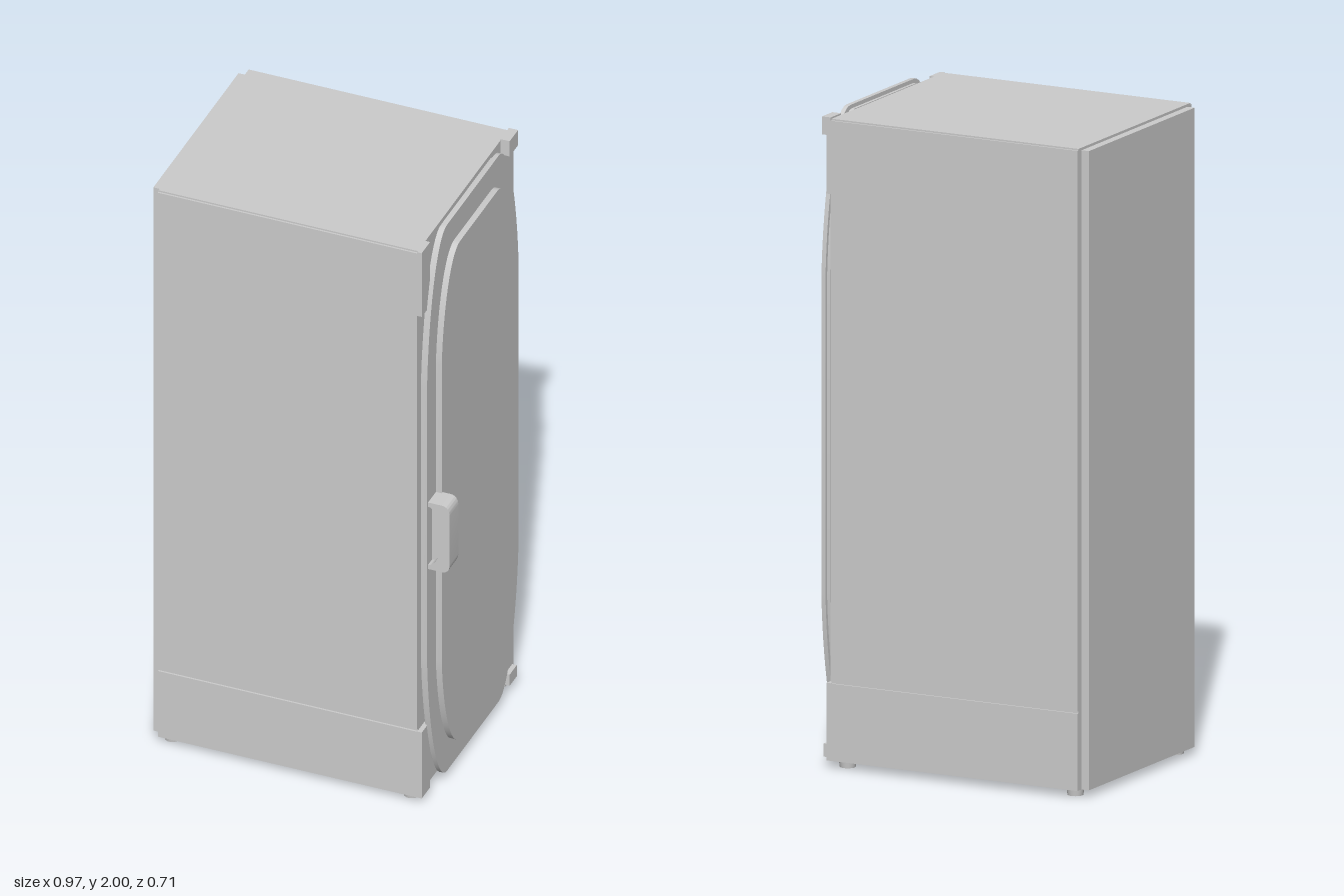
import * as THREE from 'three';
import { toCreasedNormals } from 'three/addons/utils/BufferGeometryUtils.js';

const material = new THREE.MeshStandardMaterial({ color: 0xcccccc });

function add(group, name, geometry) {
  const mesh = new THREE.Mesh(geometry, material);
  mesh.name = name;
  group.add(mesh);
  return mesh;
}

// Box given by its lower and upper bounds on each axis
function block(group, name, [x0, x1], [y0, y1], [z0, z1]) {
  const mesh = add(group, name, new THREE.BoxGeometry(x1 - x0, y1 - y0, z1 - z0));
  mesh.position.set((x0 + x1) / 2, (y0 + y1) / 2, (z0 + z1) / 2);
  return mesh;
}

// Soft-cornered door outline: w half width, f half of the flat end, r corner height
function doorOutline(w, f, y0, y1, r) {
  const s = new THREE.Shape();
  const cf = f + (w - f) * 0.52, cw = w - (w - f) * 0.07;
  s.moveTo(f, y0);
  s.bezierCurveTo(cf, y0, cw, y0 + r / 2, w, y0 + r);
  s.lineTo(w, y1 - r);
  s.bezierCurveTo(cw, y1 - r / 2, cf, y1, f, y1);
  s.lineTo(-f, y1);
  s.bezierCurveTo(-cf, y1, -cw, y1 - r / 2, -w, y1 - r);
  s.lineTo(-w, y0 + r);
  s.bezierCurveTo(-cw, y0 + r / 2, -cf, y0, -f, y0);
  s.closePath();
  return s;
}

// Slab of the outline standing across the x axis
function doorSlab(group, name, outline, x0, x1) {
  const g = new THREE.ExtrudeGeometry(outline, { depth: x1 - x0, bevelEnabled: false, curveSegments: 16 });
  g.rotateY(Math.PI / 2);
  add(group, name, toCreasedNormals(g, 0.5)).position.x = x0;
}

// Grip block with rounded outer corners and a half-oval finger opening
function createHandle() {
  const handle = new THREE.Group();
  handle.name = 'handle';
  const s = new THREE.Shape();
  s.moveTo(0.41, 0.85);
  s.lineTo(0.455, 0.85);
  s.quadraticCurveTo(0.482, 0.85, 0.482, 0.885);
  s.lineTo(0.482, 1.055);
  s.quadraticCurveTo(0.482, 1.09, 0.455, 1.09);
  s.lineTo(0.41, 1.09);
  s.lineTo(0.41, 1.075);
  s.absellipse(0.41, 0.97, 0.047, 0.105, Math.PI / 2, -Math.PI / 2, true);
  s.closePath();
  const g = new THREE.ExtrudeGeometry(s, { depth: 0.068, bevelEnabled: false, curveSegments: 16 });
  add(handle, 'grip', toCreasedNormals(g, 0.5)).position.z = 0.279;
  block(handle, 'gripWeb', [0.41, 0.46], [0.865, 1.075], [0.306, 0.316]);
  return handle;
}

export function createModel() {
  const model = new THREE.Group();
  model.name = 'refrigerator';

  // Cabinet with a seam between the upper and lower side panels
  const cabinet = new THREE.Group();
  cabinet.name = 'cabinet';
  model.add(cabinet);
  block(cabinet, 'cabinetCore', [-0.46, 0.38], [0.022, 1.99], [-0.349, 0.349]);
  block(cabinet, 'backPanel', [-0.485, -0.46], [0.022, 1.982], [-0.33, 0.33]);
  for (const side of [-1, 1]) {
    const z = side > 0 ? [0.349, 0.355] : [-0.355, -0.349];
    block(cabinet, 'upperSidePanel', [-0.46, 0.38], [0.266, 1.985], z);
    block(cabinet, 'lowerSidePanel', [-0.46, 0.38], [0.022, 0.259], z);

    // Corner blocks that carry the door
    const post = side > 0 ? [0.29, 0.355] : [-0.355, -0.29];
    block(cabinet, 'topCornerBlock', [0.38, 0.395], [1.76, 1.99], post);
    block(cabinet, 'bottomCornerBlock', [0.38, 0.395], [0.022, 0.26], post);

    // Feet
    for (const x of [-0.43, 0.345]) {
      const foot = add(cabinet, 'foot', new THREE.CylinderGeometry(0.027, 0.024, 0.024, 24));
      foot.position.set(x, 0.012, side * 0.313);
    }
  }

  // Hinges at the edge opposite the handle
  block(cabinet, 'topHinge', [0.38, 0.41], [1.94, 1.995], [-0.355, -0.29]);
  block(cabinet, 'bottomHinge', [0.38, 0.41], [0.03, 0.07], [-0.345, -0.29]);

  // Door in layers: liner, shell and raised front panel
  const door = new THREE.Group();
  door.name = 'door';
  model.add(door);
  doorSlab(door, 'doorLiner', doorOutline(0.345, 0.19, 0.042, 1.988, 0.49), 0.388, 0.398);
  doorSlab(door, 'doorShell', doorOutline(0.355, 0.2, 0.03, 2, 0.5), 0.398, 0.412);
  doorSlab(door, 'doorFrontPanel', doorOutline(0.286, 0.145, 0.122, 1.912, 0.36), 0.41, 0.431);
  door.add(createHandle());

  return model;
}
